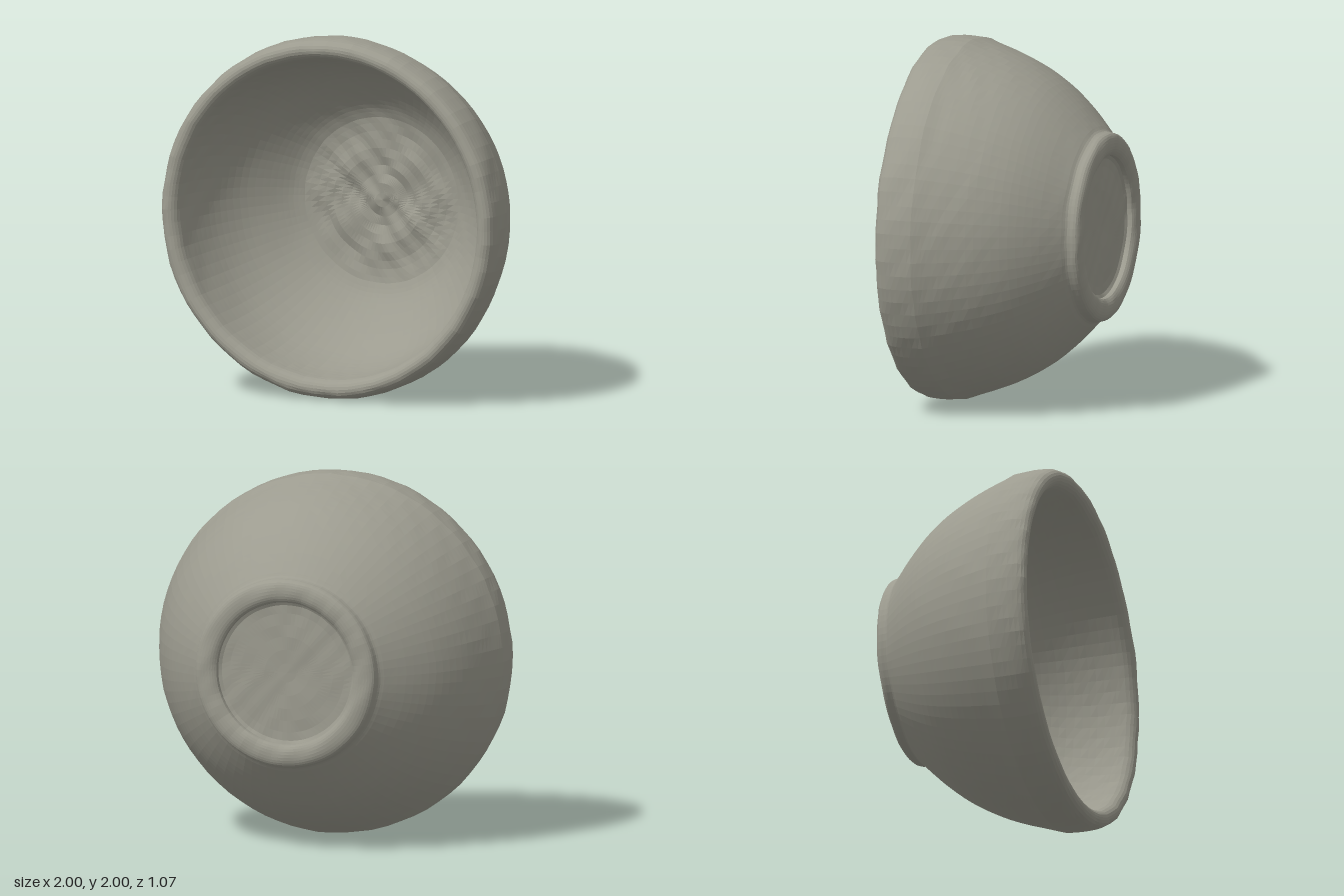
import * as THREE from 'three';

// Profiles as [radius, height along the bowl axis], each running on from the last
const footProfile = [[0, -0.455], [0.2, -0.46], [0.375, -0.46], [0.395, -0.495], [0.43, -0.515],
  [0.48, -0.515], [0.515, -0.495], [0.525, -0.45], [0.55, -0.425]];
const wallProfile = [[0.55, -0.425], [0.67, -0.31], [0.78, -0.18], [0.87, -0.03], [0.93, 0.11],
  [0.968, 0.22], [0.993, 0.29]];
const rimProfile = [[0.993, 0.29], [0.998, 0.36], [0.996, 0.43], [0.982, 0.485], [0.95, 0.508],
  [0.915, 0.5], [0.89, 0.465], [0.883, 0.4]];
const insideProfile = [[0.883, 0.4], [0.865, 0.27], [0.82, 0.12], [0.74, -0.02], [0.63, -0.14],
  [0.53, -0.225], [0.46, -0.262]];
const floorProfile = [[0.46, -0.262], [0.36, -0.275], [0.24, -0.27], [0.12, -0.28], [0, -0.275]];

// Smooth unevenness of hand-shaped clay, the same for shared edges
function wobble(x, y, z) {
  return Math.sin(x * 17 + y * 9 + 1) * Math.sin(z * 19 - y * 13 + 2)
    + 0.6 * Math.sin(x * 41 - z * 37 + y * 31);
}

// Turned surface, slightly roughened
function turned(name, profile, steps, material, rough) {
  const curve = new THREE.SplineCurve(profile.map(([r, h]) => new THREE.Vector2(r, h)));
  const points = curve.getPoints(steps);
  points.forEach((p) => { p.x = Math.max(0, p.x); });
  const geometry = new THREE.LatheGeometry(points, 80);
  const pos = geometry.attributes.position;
  for (let i = 0; i < pos.count; i++) {
    const x = pos.getX(i), y = pos.getY(i), z = pos.getZ(i);
    const r = Math.hypot(x, z);
    const w = wobble(x, y, z);
    const k = 1 + w * 0.0022;
    // extra hand marks fade out towards the edge of the floor
    const mark = rough * Math.max(0, 1 - (r / 0.46) ** 2);
    pos.setXYZ(i, x * k, y + w * (0.002 + mark), z * k);
  }
  geometry.computeVertexNormals();
  const mesh = new THREE.Mesh(geometry, material);
  mesh.name = name;
  return mesh;
}

export function createModel() {
  const clay = new THREE.MeshStandardMaterial({ color: 0x9c9b8f, flatShading: true });
  clay.name = 'grey clay';

  const bowl = new THREE.Group();
  bowl.name = 'bowl';
  bowl.add(
    turned('footRing', footProfile, 24, clay, 0),
    turned('outerWall', wallProfile, 22, clay, 0),
    turned('rim', rimProfile, 16, clay, 0),
    turned('innerWall', insideProfile, 22, clay, 0),
    turned('innerFloor', floorProfile, 10, clay, 0.012),
  );

  // Bowl stands on its edge, opening to the front and turned a touch to one side
  bowl.rotation.set(Math.PI / 2, 0, 0);
  const turn = new THREE.Group();
  turn.name = 'bowlOnEdge';
  turn.rotation.y = -0.028;
  turn.position.y = 1;
  turn.add(bowl);

  const model = new THREE.Group();
  model.name = 'model';
  model.add(turn);
  return model;
}
